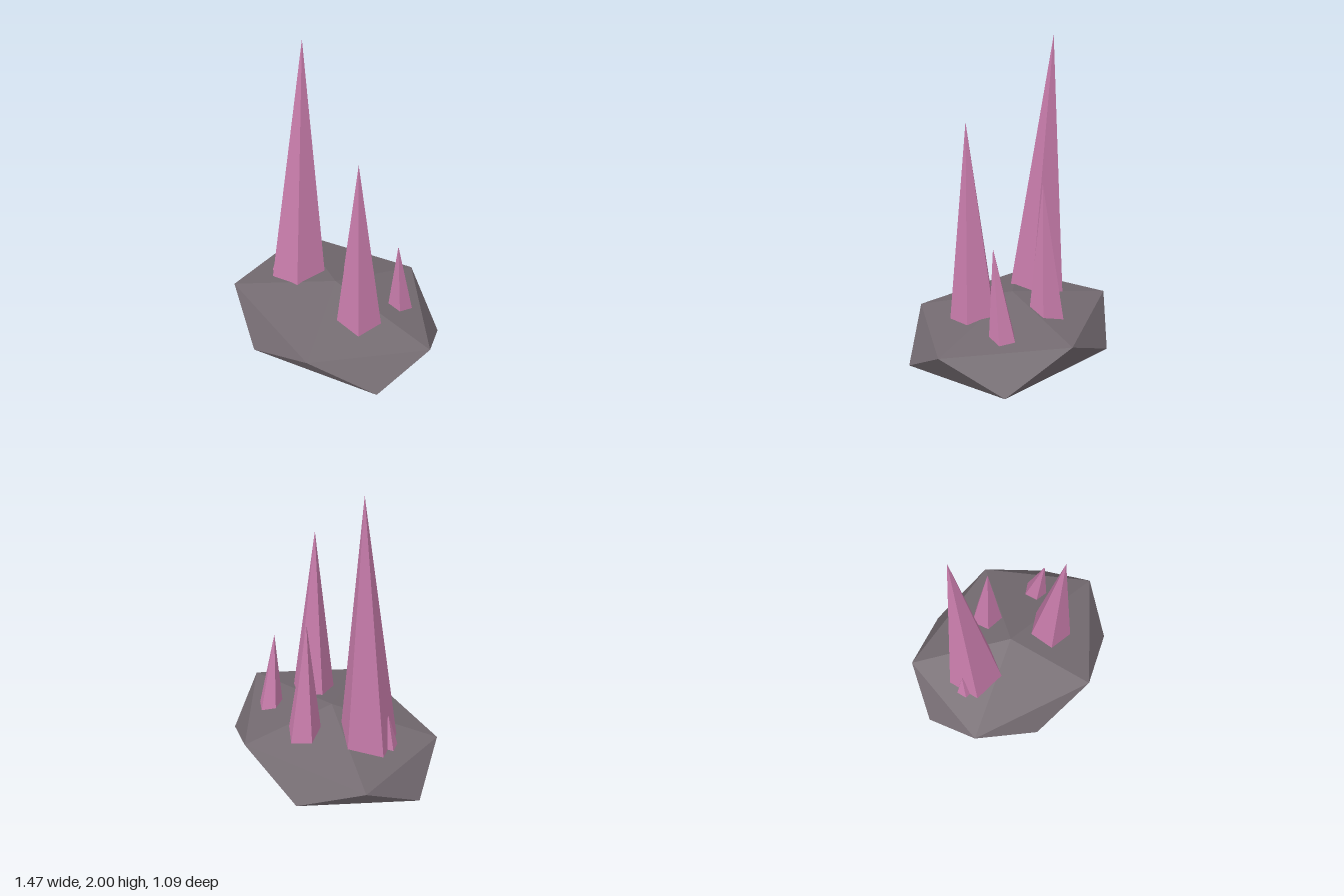
import * as THREE from 'three';

const rockMaterial = new THREE.MeshStandardMaterial({ color: 0x736a70 });
rockMaterial.name = 'rock grey';
const crystalMaterial = new THREE.MeshStandardMaterial({ color: 0xc87cab });
crystalMaterial.name = 'crystal pink';

// Faceted rock: two staggered five-point rings closed by a top and a bottom point
function rockGeometry() {
  const ring = (y, turn) => Array.from({ length: 5 }, (_, k) => {
    const a = (k + turn) * Math.PI * 0.4;
    return [0.735 * Math.cos(a), y, -0.574 * Math.sin(a)];
  });
  const upper = ring(0.338, 0), lower = ring(0.133, 0.5);
  const top = [0, 0.47, 0], bottom = [0, 0.003, 0];
  const points = [];
  for (let k = 0; k < 5; k++) {
    const n = (k + 1) % 5;
    points.push(
      top, upper[k], upper[n],
      upper[k], lower[k], upper[n],
      lower[k], lower[n], upper[n],
      bottom, lower[n], lower[k],
    );
  }
  const geometry = new THREE.BufferGeometry();
  geometry.setAttribute('position', new THREE.Float32BufferAttribute(points.flat(), 3));
  geometry.computeVertexNormals();
  return geometry;
}

// Five-sided spike, radius and centre given at the rock surface, leaning to its tip
function crystalGeometry({ x, z, radius, tip }) {
  const surface = 0.38, foot = 0.31; // the foot is buried in the rock
  const [tipX, tipY, tipZ] = tip;
  const height = tipY - foot;
  const footRadius = radius * height / (tipY - surface);
  let geometry = new THREE.ConeGeometry(footRadius, height, 5);
  geometry.rotateY(Math.PI);
  geometry.translate(0, tipY - height / 2, 0);
  const p = geometry.attributes.position;
  for (let i = 0; i < p.count; i++) {
    const t = (p.getY(i) - surface) / (tipY - surface);
    p.setX(i, p.getX(i) + x + (tipX - x) * t);
    p.setZ(i, p.getZ(i) + z + (tipZ - z) * t);
  }
  geometry = geometry.toNonIndexed();
  geometry.computeVertexNormals();
  return geometry;
}

const crystals = [
  { name: 'tallCrystal', x: -0.308, z: 0.0, radius: 0.184, tip: [-0.306, 2.0, -0.09] },
  { name: 'frontCrystal', x: 0.267, z: 0.095, radius: 0.145, tip: [0.267, 1.545, 0.137] },
  { name: 'backCrystal', x: 0, z: -0.25, radius: 0.11, tip: [0, 1.18, -0.208] },
  { name: 'sideCrystal', x: 0.382, z: -0.182, radius: 0.077, tip: [0.382, 0.885, -0.12] },
  { name: 'tinyCrystal', x: -0.435, z: 0.047, radius: 0.055, tip: [-0.435, 0.61, 0.033] },
];

export function createModel() {
  const model = new THREE.Group();
  model.name = 'crystalCluster';

  const rock = new THREE.Mesh(rockGeometry(), rockMaterial);
  rock.name = 'rockBase';
  model.add(rock);

  for (const crystal of crystals) {
    const mesh = new THREE.Mesh(crystalGeometry(crystal), crystalMaterial);
    mesh.name = crystal.name;
    model.add(mesh);
  }
  return model;
}
